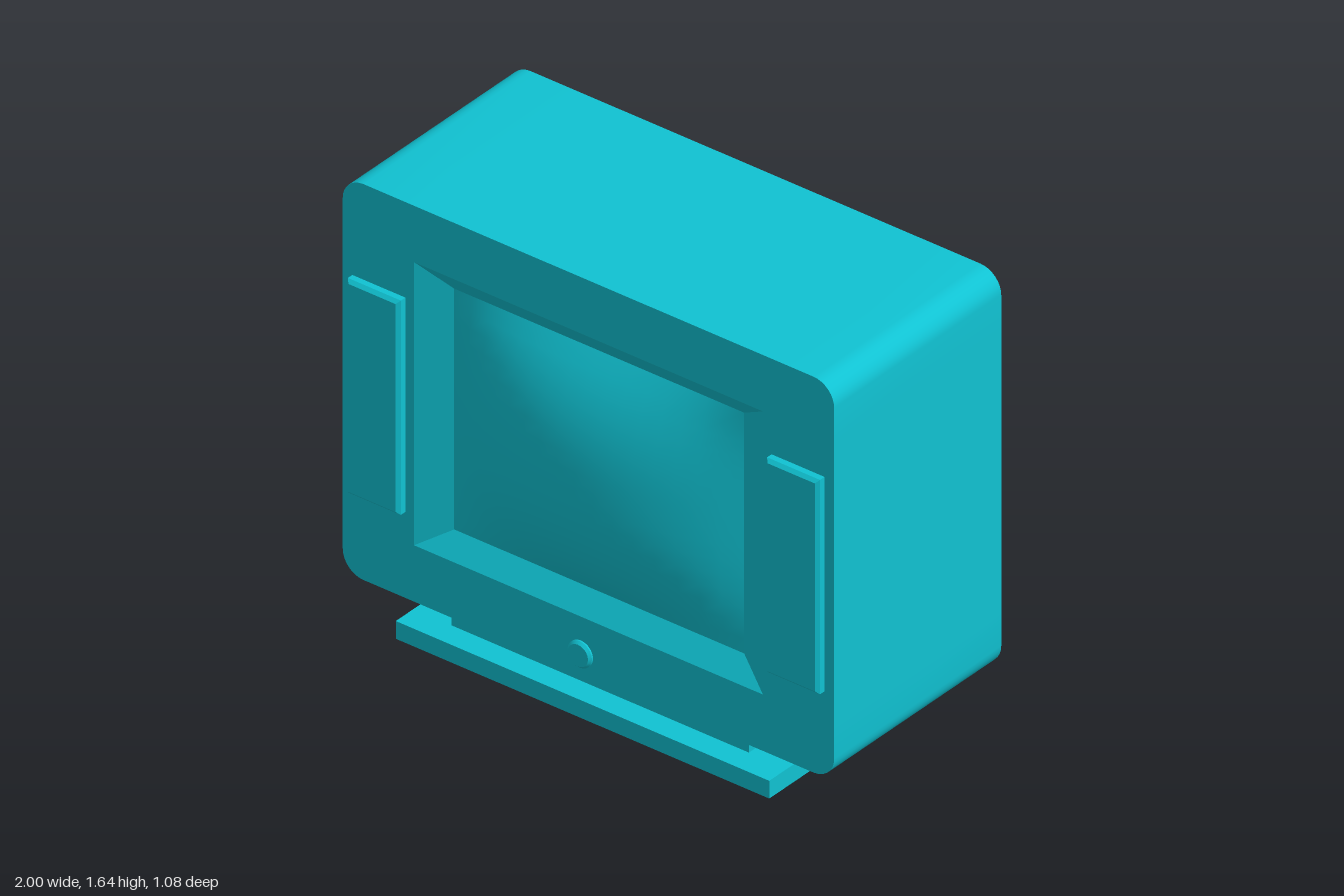
import * as THREE from 'three';
import { toCreasedNormals } from 'three/addons/utils/BufferGeometryUtils.js';

const material = new THREE.MeshStandardMaterial({ color: 0x10c2d2 });
const CY = 0.893, HALF_H = 0.748; // casing centre and half height
const FRONT = 0.47, SHOULDER = -0.385, BACK = -0.54;
const OPEN = { w: 0.71, h: 0.535 }; // bezel opening, also the size of the back plate
const GLASS = { w: 0.59, h: 0.455, z: 0.415 };

function add(parent, name, geometry, x = 0, y = 0, z = 0) {
  const mesh = new THREE.Mesh(geometry, material);
  mesh.name = name;
  mesh.position.set(x, y, z);
  parent.add(mesh);
  return mesh;
}

const rect = (w, h) => [[-w, -h], [w, -h], [w, h], [-w, h]].map(([x, y]) => new THREE.Vector2(x, y));
const ring = (points, z) => points.map((p) => new THREE.Vector3(p.x, p.y, z));

// Joins rings of equal length (counter-clockwise from the front), going backwards
function loft(rings) {
  const pos = [];
  const tri = (...c) => {
    if (new THREE.Triangle(...c).getArea() > 1e-7) c.forEach((v) => pos.push(v.x, v.y, v.z));
  };
  for (let k = 0; k + 1 < rings.length; k++) {
    const [r, s] = [rings[k], rings[k + 1]];
    r.forEach((a, i) => {
      const j = (i + 1) % r.length;
      tri(a, s[i], s[j]);
      tri(a, s[j], r[j]);
    });
  }
  const g = new THREE.BufferGeometry();
  g.setAttribute('position', new THREE.Float32BufferAttribute(pos, 3));
  g.computeVertexNormals();
  return toCreasedNormals(g, 0.4);
}

// Rounded rectangle with extra points where the rear facets meet
function casingOutline(radius = 0.085, steps = 8) {
  const points = [];
  [[1, -1], [1, 1], [-1, 1], [-1, -1]].forEach(([sx, sy], q) => {
    const side = new THREE.Vector2(sx, sy * OPEN.h);
    const flat = new THREE.Vector2(sx * OPEN.w, sy * HALF_H);
    const arc = [];
    for (let i = 0; i <= steps; i++) {
      const a = (q - 1 + i / steps) * Math.PI / 2;
      arc.push(new THREE.Vector2(sx * (1 - radius) + radius * Math.cos(a),
        sy * (HALF_H - radius) + radius * Math.sin(a)));
    }
    points.push(...(q % 2 ? [side, ...arc, flat] : [flat, ...arc, side]));
  });
  return points;
}

export function createModel() {
  const model = new THREE.Group();
  model.name = 'television';

  // Casing: straight sides, then facets tapering to the back plate
  const casing = new THREE.Group();
  casing.name = 'casing';
  casing.position.y = CY;
  model.add(casing);
  const outline = casingOutline();
  const backOutline = outline.map((p) => new THREE.Vector2(
    THREE.MathUtils.clamp(p.x, -OPEN.w, OPEN.w), THREE.MathUtils.clamp(p.y, -OPEN.h, OPEN.h)));
  add(casing, 'shell', loft([ring(outline, FRONT), ring(outline, SHOULDER)]));
  add(casing, 'rearTaper', loft([ring(outline, SHOULDER), ring(backOutline, BACK)]));
  add(casing, 'backPlate', new THREE.PlaneGeometry(2 * OPEN.w, 2 * OPEN.h), 0, 0, BACK).rotation.y = Math.PI;

  // Front face with the screen opening
  const face = new THREE.Shape(outline);
  face.holes.push(new THREE.Path(rect(OPEN.w, OPEN.h)));
  add(casing, 'frontFace', new THREE.ShapeGeometry(face), 0, 0, FRONT);

  // Bezel sloping in to the glass
  add(casing, 'bezel', loft([ring(rect(GLASS.w, GLASS.h), GLASS.z), ring(rect(OPEN.w, OPEN.h), FRONT)]));

  // Domed screen
  const glass = new THREE.PlaneGeometry(2 * GLASS.w, 2 * GLASS.h, 16, 16);
  const p = glass.attributes.position;
  for (let i = 0; i < p.count; i++) {
    const u = Math.abs(p.getX(i) / GLASS.w), v = Math.abs(p.getY(i) / GLASS.h);
    p.setZ(i, 0.128 * (1 - u ** 2.1) * (1 - v ** 2.5));
  }
  glass.computeVertexNormals();
  add(casing, 'screen', glass, 0, 0, GLASS.z);

  // Speaker panels with chamfered edges
  const bevel = 0.012;
  const panel = new THREE.ExtrudeGeometry(new THREE.Shape(rect(0.108 - bevel, 0.405 - bevel)), {
    depth: 0.023, bevelEnabled: true, bevelThickness: bevel, bevelSize: bevel, bevelSegments: 1,
  });
  for (const [name, side] of [['leftSpeaker', 1], ['rightSpeaker', -1]]) {
    add(model, name, panel, side * 0.853, 0.875, FRONT);
  }

  // Knob
  const knobProfile = [[0, 0], [0.042, 0], [0.05, 0.006], [0.05, 0.012], [0.041, 0.021], [0, 0.021]]
    .map(([r, y]) => new THREE.Vector2(r, y));
  const knob = toCreasedNormals(new THREE.LatheGeometry(knobProfile, 20), 0.5);
  add(model, 'knob', knob, 0, 0.25, 0.503).rotation.x = Math.PI / 2;

  // Stand
  add(model, 'neck', new THREE.BoxGeometry(1.21, 0.08, 0.73), 0, 0.107, 0.045);
  add(model, 'base', new THREE.BoxGeometry(1.52, 0.067, 0.915), 0, 0.0335, 0.043);
  return model;
}
